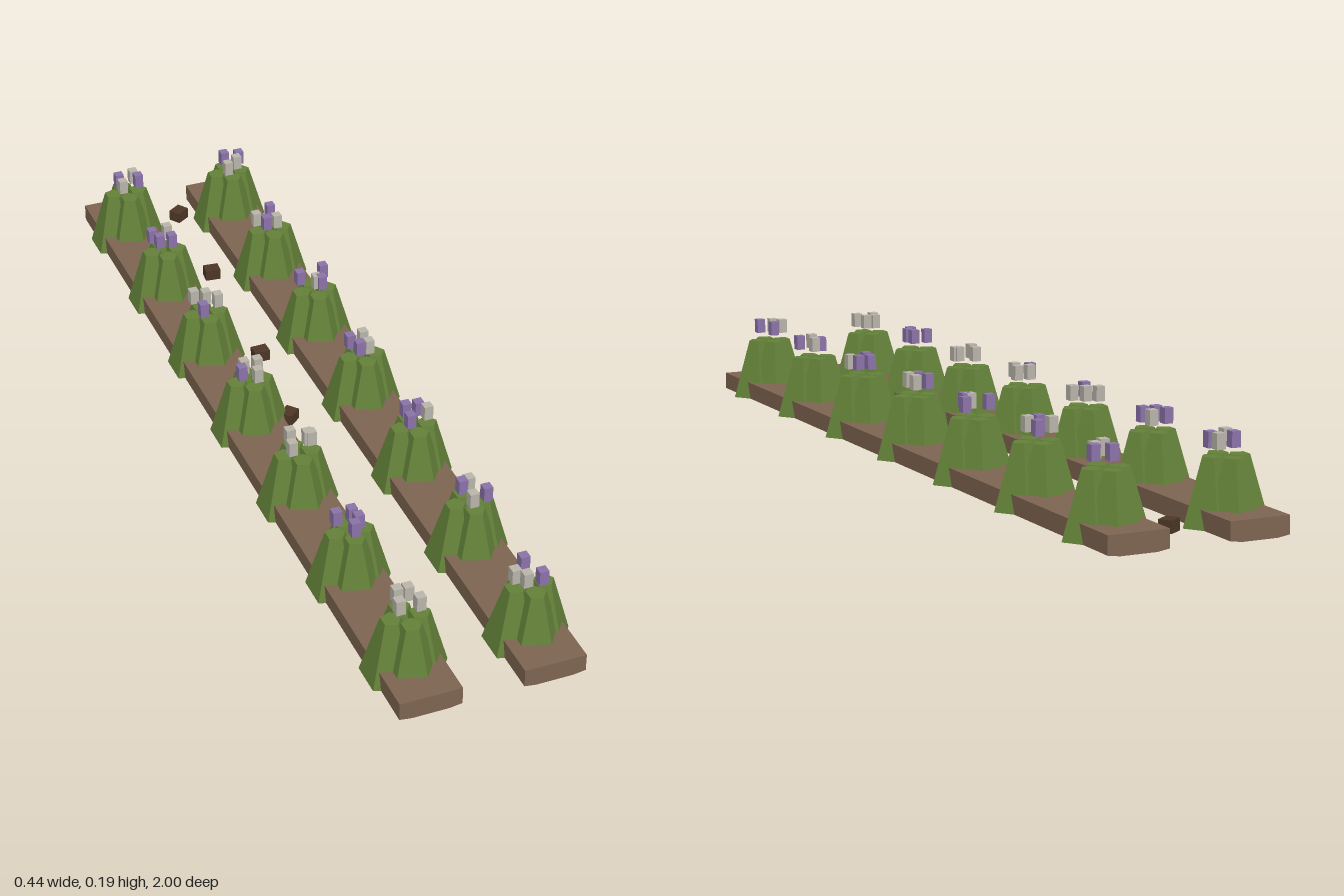
import * as THREE from 'three';

const mat = (name, color) => {
  const m = new THREE.MeshStandardMaterial({ color });
  m.name = name;
  return m;
};

export function createModel() {
  const soil = mat('soil brown', 0x7d6450);
  const clodBrown = mat('dark clod brown', 0x4c3627);
  const green = mat('leaf green', 0x628038);
  const lavender = mat('lavender', 0x8a72a8);
  const pale = mat('pale blossom', 0xb8b4aa);

  const model = new THREE.Group();
  model.name = 'plantingRows';
  const add = (parent, name, geometry, material, x, y, z) => {
    const mesh = new THREE.Mesh(geometry, material);
    mesh.name = name;
    mesh.position.set(x, y, z);
    parent.add(mesh);
    return mesh;
  };

  // small seeded generator for the blossom scatter
  let seed = 11;
  const rand = () => (seed = (seed * 16807) % 2147483647) / 2147483647;
  for (let i = 0; i < 10; i++) rand();

  // raised bed with a slightly bevelled underside
  const profile = new THREE.Shape([
    [-0.067, 0.004], [-0.04, 0], [0.04, 0], [0.067, 0.004], [0.067, 0.043], [-0.067, 0.043],
  ].map(([x, y]) => new THREE.Vector2(x, y)));
  const bedGeo = new THREE.ExtrudeGeometry(profile, { depth: 2, bevelEnabled: false });
  bedGeo.translate(0, 0, -1);

  // five-sided tapered leaf bundle with one corner toward +x
  const leafGeo = new THREE.CylinderGeometry(0.022, 0.063, 0.139, 5).toNonIndexed();
  leafGeo.rotateY(Math.PI / 2);
  leafGeo.computeVertexNormals();
  const blossomGeo = new THREE.BoxGeometry(0.02, 0.033, 0.02);

  for (const [side, rowX] of [['right', -0.14], ['left', 0.127]]) {
    add(model, `${side}Bed`, bedGeo, soil, rowX, 0, 0);
    for (let i = 0; i < 7; i++) {
      const plant = new THREE.Group();
      plant.name = `${side}Plant${i + 1}`;
      plant.position.set(rowX, 0, (i - 3) * 0.289);
      model.add(plant);

      // four overlapping leaf bundles, each with a blossom floating above
      for (let k = 0; k < 4; k++) {
        const a = (k * Math.PI) / 2;
        add(plant, 'leafBundle', leafGeo, green, 0.031 * Math.cos(a), 0.0735, 0.031 * Math.sin(a));
        const b = a + rand() * 1.4;
        const r = 0.014 + 0.024 * rand();
        add(plant, 'blossom', blossomGeo, rand() < 0.5 ? lavender : pale,
          r * Math.cos(b), 0.175, r * Math.sin(b));
      }
    }
  }

  // loose clods on the path between the beds
  const clodGeo = new THREE.BoxGeometry(0.036, 0.026, 0.03);
  for (const [x, z, turn] of [[0.007, -0.905, 0.6], [-0.008, -0.62, -0.1], [-0.022, -0.25, 0.03], [-0.05, 0.005, 0.7]]) {
    add(model, 'clod', clodGeo, clodBrown, x, 0.025, z).rotation.y = turn;
  }
  return model;
}
